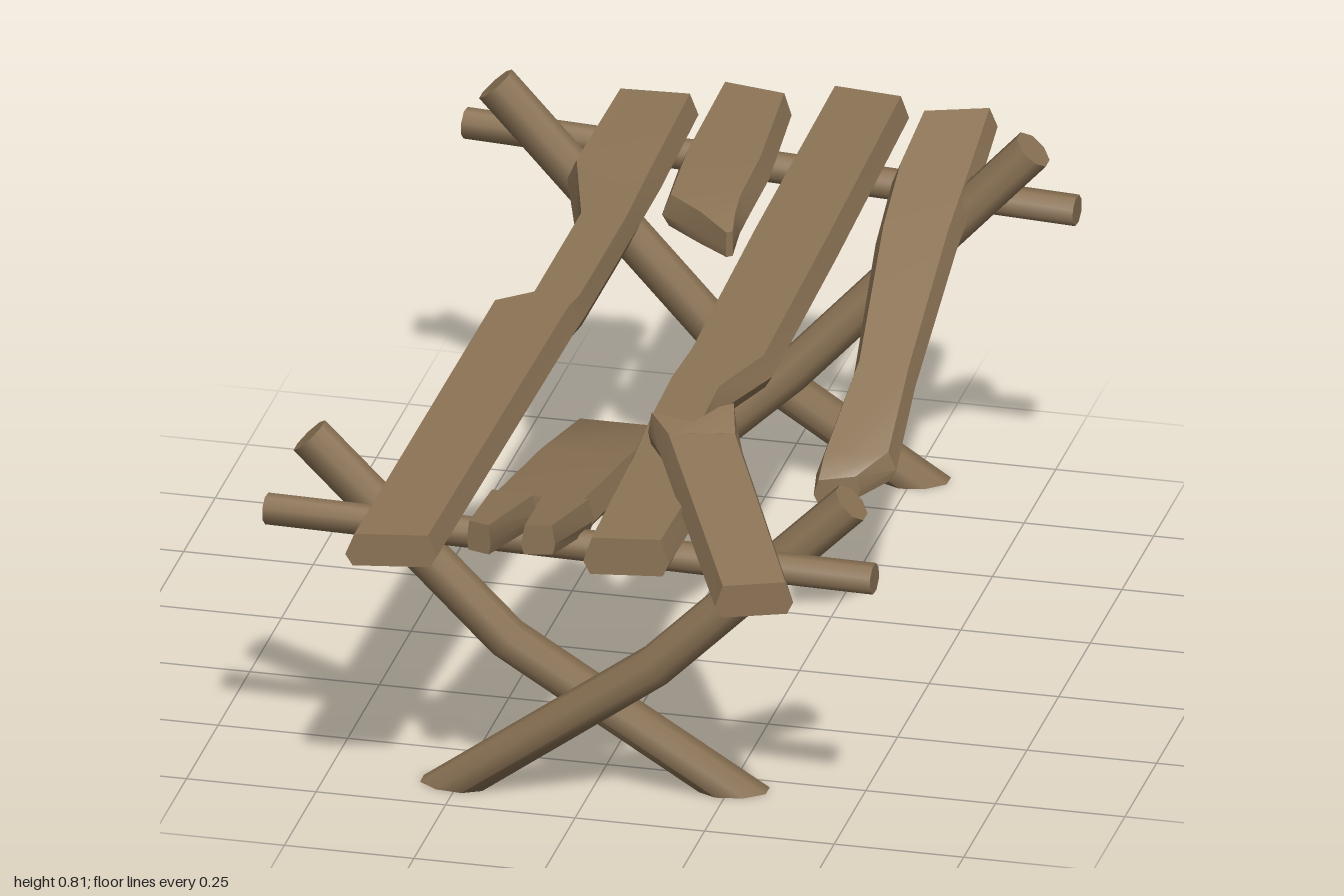
import * as THREE from 'three';
import { toCreasedNormals } from 'three/addons/utils/BufferGeometryUtils.js';

const wood = new THREE.MeshStandardMaterial({ color: 0x8b7355 });
wood.name = 'weathered wood';

// Closed solid skinned over a list of rings of points
function loft(rings, crease) {
  const n = rings[0].length, pos = [], idx = [];
  rings.forEach(r => r.forEach(p => pos.push(p.x, p.y, p.z)));
  for (let s = 0; s < rings.length - 1; s++) {
    for (let i = 0; i < n; i++) {
      const j = (i + 1) % n, a = s * n + i, b = s * n + j;
      idx.push(a, b, b + n, a, b + n, a + n);
    }
  }
  const e = (rings.length - 1) * n;
  for (let i = 1; i < n - 1; i++) idx.push(0, i + 1, i, e, e + i, e + i + 1);
  const g = new THREE.BufferGeometry();
  g.setAttribute('position', new THREE.Float32BufferAttribute(pos, 3));
  g.setIndex(idx);
  return toCreasedNormals(g, crease);
}

// Bevelled slab section: [across, height]
const SECTION = [[0, 0.35], [0.1, 1], [0.9, 1], [1, 0.35], [0.92, 0], [0.08, 0]];

// Board from stations, front to back: [xLeft, zLeft, xRight, zRight, yTopLeft, yTopRight, thickness]
function board(stations) {
  return loft(stations.map(([xl, zl, xr, zr, yl, yr, t = 0.065]) =>
    SECTION.map(([u, v]) => new THREE.Vector3(
      xl + (xr - xl) * u, yl + (yr - yl) * u - t * (1 - v), zl + (zr - zl) * u))), 0.5);
}

// Eight-sided pole along points, mitred at bends, optionally cut flat on the floor
function pole(points, radius, floorCut) {
  const P = points.map(p => new THREE.Vector3(...p)), last = P.length - 1;
  const dirs = P.slice(1).map((p, i) => p.clone().sub(P[i]).normalize());
  const u = new THREE.Vector3(0, 0, 1).cross(dirs[0]).normalize();
  const v = dirs[0].clone().cross(u);
  let ring = [];
  for (let i = 0; i < 8; i++) {
    const a = (i + 0.5) * Math.PI / 4;
    ring.push(P[0].clone().addScaledVector(u, radius * Math.cos(a)).addScaledVector(v, radius * Math.sin(a)));
  }
  const rings = [ring];
  for (let k = 1; k <= last; k++) {
    const d = dirs[k - 1];
    let normal = d.clone();
    if (k < last) normal.add(dirs[k]).normalize();
    else if (floorCut) normal = new THREE.Vector3(0, 1, 0);
    ring = ring.map(p => p.clone().addScaledVector(d, P[k].clone().sub(p).dot(normal) / d.dot(normal)));
    rings.push(ring);
  }
  return loft(rings, 0.9);
}

export function createModel() {
  const model = new THREE.Group();
  const add = (name, geometry) => {
    const m = new THREE.Mesh(geometry, wood);
    m.name = name;
    model.add(m);
  };

  // Crossed bent legs; s is the side of the top end
  for (const [s, side, zf, zfBase, zb, zbBase] of [
    [1, 'left', 0.735, 0.65, -0.72, -0.635],
    [-1, 'right', 0.68, 0.555, -0.77, -0.89],
  ]) {
    add(side + 'FrontLeg', pole([[s * 0.53, 0.7, zf], [s * 0.15, 0.32, zf - 0.01], [s * -0.26, 0, zfBase]], 0.041, true));
    add(side + 'BackLeg', pole([[s * 0.525, 0.785, zb], [s * 0.06, 0.28, zb], [s * -0.26, 0, zbBase]], 0.041, true));
  }

  // Crossbars under the boards
  add('frontCrossbar', pole([[-0.6, 0.564, 0.73], [0.59, 0.578, 0.8]], 0.03));
  add('backCrossbar', pole([[-0.6, 0.666, -0.84], [0.6, 0.65, -0.76]], 0.03));

  // Long board with a deep notch in its outer edge
  add('rightBoard', board([
    [-0.385, 0.99, -0.215, 0.96, 0.65, 0.65],
    [-0.36, -0.02, -0.185, -0.02, 0.69, 0.69],
    [-0.29, -0.07, -0.182, -0.08, 0.692, 0.692],
    [-0.28, -0.4, -0.172, -0.4, 0.71, 0.71],
    [-0.345, -0.6, -0.165, -0.6, 0.725, 0.725],
    [-0.33, -0.89, -0.165, -0.9, 0.745, 0.745],
  ]));

  // Snapped board: sagging front half with a split end, short back half
  add('brokenBoardFront', board([
    [-0.178, 0.73, 0.03, 0.73, 0.645, 0.645],
    [-0.172, 0.4, 0.035, 0.4, 0.59, 0.59],
    [-0.17, 0.1, 0.04, 0.12, 0.52, 0.53],
    [-0.17, 0.02, -0.06, 0.04, 0.455, 0.48],
    [-0.17, -0.08, -0.07, -0.04, 0.42, 0.425, 0.05],
  ]));
  add('brokenBoardSplinter', board([
    [-0.165, 0.93, -0.115, 0.945, 0.675, 0.675, 0.06], [-0.178, 0.72, -0.075, 0.72, 0.645, 0.645],
  ]));
  add('brokenBoardSplinter', board([
    [-0.06, 0.93, 0.002, 0.915, 0.675, 0.675, 0.06], [-0.08, 0.72, 0.03, 0.72, 0.645, 0.645],
  ]));
  add('brokenBoardBack', board([
    [0, -0.44, 0.012, -0.45, 0.68, 0.68, 0.05],
    [-0.07, -0.49, 0.012, -0.5, 0.695, 0.695],
    [-0.145, -0.53, 0.015, -0.56, 0.705, 0.705],
    [-0.155, -0.7, 0.02, -0.7, 0.72, 0.72],
    [-0.145, -0.97, 0.005, -0.94, 0.745, 0.745],
  ]));

  // Full-length board, narrowed near the front
  add('centreBoard', board([
    [0.05, 0.89, 0.21, 0.865, 0.645, 0.645, 0.075],
    [0.045, 0.55, 0.225, 0.55, 0.66, 0.66],
    [0.045, 0.38, 0.165, 0.4, 0.67, 0.67],
    [0.045, 0.22, 0.165, 0.24, 0.68, 0.68],
    [0.05, 0.1, 0.222, 0.1, 0.688, 0.688],
    [0.05, -0.4, 0.225, -0.4, 0.715, 0.715],
    [0.058, -1, 0.222, -0.98, 0.745, 0.745],
  ]));

  // Loose piece lying askew across the front, with a jagged inner end
  add('loosePiece', board([
    [0.33, 0.995, 0.47, 0.95, 0.62, 0.625],
    [0.12, 0.57, 0.27, 0.53, 0.725, 0.725],
    [0.08, 0.5, 0.15, 0.52, 0.735, 0.735],
  ]));
  add('loosePieceSplinter', board([
    [0.13, 0.57, 0.27, 0.53, 0.725, 0.725], [0.21, 0.48, 0.24, 0.465, 0.75, 0.755, 0.05],
  ]));

  // Hanging board, dropping steeply toward the middle
  add('hangingBoard', board([
    [0.265, -0.05, 0.35, -0.07, 0.37, 0.38, 0.045],
    [0.258, -0.1, 0.41, -0.11, 0.4, 0.42, 0.06],
    [0.28, -0.3, 0.4, -0.3, 0.51, 0.51],
    [0.25, -0.6, 0.405, -0.6, 0.655, 0.655],
    [0.245, -0.75, 0.41, -0.75, 0.715, 0.715],
    [0.26, -0.88, 0.41, -0.91, 0.765, 0.775, 0.06],
  ]));

  return model;
}
